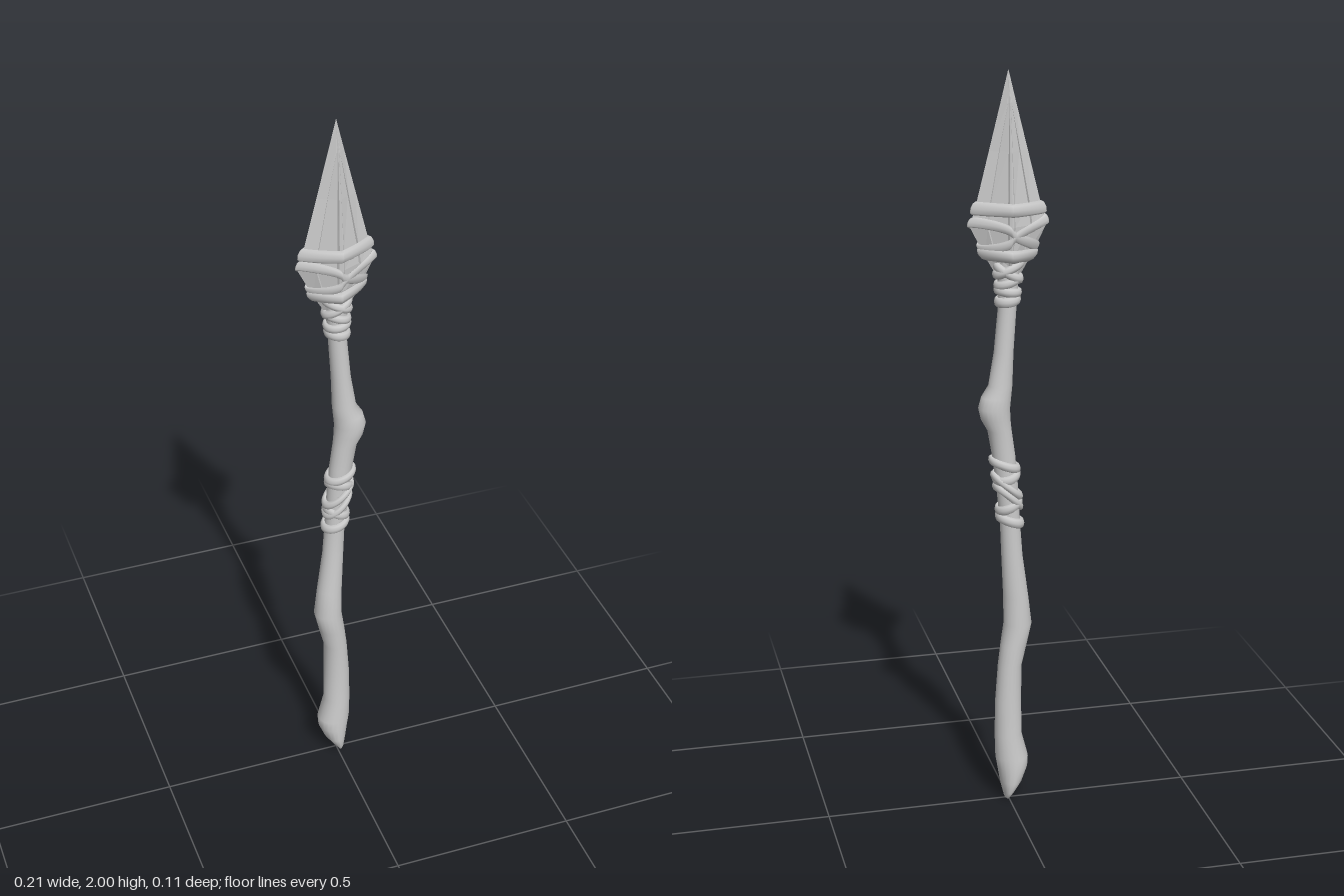
import * as THREE from 'three';

const smooth = new THREE.MeshStandardMaterial({ color: 0xcccccc });
const faceted = new THREE.MeshStandardMaterial({ color: 0xcccccc, flatShading: true });

// Skin a surface over closed rings of points; loop also joins the last ring to the first.
function skin(rings, loop = false) {
  const n = rings[0].length, m = rings.length, index = [];
  for (let i = 0; i < (loop ? m : m - 1); i++) {
    for (let j = 0; j < n; j++) {
      const a = i * n + j, b = i * n + (j + 1) % n;
      const c = ((i + 1) % m) * n + j, d = ((i + 1) % m) * n + (j + 1) % n;
      index.push(a, c, b, b, c, d);
    }
  }
  const geo = new THREE.BufferGeometry();
  geo.setAttribute('position', new THREE.Float32BufferAttribute(rings.flat(2), 3));
  geo.setIndex(index);
  geo.computeVertexNormals();
  return geo;
}

// Linear lookup in a table whose first column is y.
function lookup(table, y) {
  let i = 1;
  while (i < table.length - 1 && table[i][0] < y) i++;
  const a = table[i - 1], b = table[i];
  const t = THREE.MathUtils.clamp((y - a[0]) / (b[0] - a[0]), 0, 1);
  return a.map((v, k) => v + (b[k] - v) * t);
}

// Shaft: y, left x, right x, centre z, half depth
const SHAFT = [
  [0.003, 0.004, 0.01, 0, 0.004], [0.01, 0, 0.012, 0, 0.025], [0.03, -0.014, 0.017, 0, 0.039],
  [0.06, -0.036, 0.024, 0, 0.044], [0.1, -0.052, 0.031, 0, 0.044], [0.13, -0.054, 0.036, 0, 0.042],
  [0.2, -0.036, 0.038, 0, 0.037], [0.3, -0.035, 0.036, 0, 0.034], [0.4, -0.036, 0.028, 0.002, 0.034],
  [0.46, -0.051, 0.02, 0.005, 0.036], [0.52, -0.065, 0.011, 0.007, 0.037], [0.6, -0.055, 0.013, 0.004, 0.032],
  [0.72, -0.038, 0.019, 0, 0.027], [0.8, -0.032, 0.022, 0, 0.027], [0.92, -0.025, 0.033, 0, 0.028],
  [1.0, -0.018, 0.044, 0, 0.028], [1.07, -0.008, 0.056, 0, 0.031], [1.1, -0.005, 0.073, 0, 0.035],
  [1.13, -0.004, 0.08, 0, 0.037], [1.16, -0.007, 0.072, 0, 0.035], [1.19, -0.01, 0.053, 0, 0.03],
  [1.28, -0.013, 0.038, 0, 0.027], [1.4, -0.021, 0.027, 0, 0.024], [1.48, -0.027, 0.028, 0, 0.025],
  [1.58, -0.03, 0.03, 0, 0.025],
];

// Blade: y, half width, half depth, groove position (share of width), groove depth
const BLADE = [
  [1.47, 0.025, 0.02, 0.6, 0], [1.53, 0.06, 0.037, 0.6, 0.08], [1.61, 0.1, 0.045, 0.58, 0.13],
  [1.66, 0.085, 0.044, 0.62, 0.13], [1.8, 0.05, 0.033, 0.55, 0.13],
  [1.92, 0.02, 0.018, 0.25, 0.02], [2, 0.0005, 0.0005, 0.2, 0],
];

const shaftAt = y => {
  const [, l, r, cz, rz] = lookup(SHAFT, y);
  return { cx: (l + r) / 2, cz, rx: (r - l) / 2, rz, power: 1 };
};
const bladeAt = y => {
  const [, w, d] = lookup(BLADE, y);
  return { cx: 0, cz: 0, rx: w, rz: d, power: 1.75 };
};

function shaftGeometry() {
  const n = 20;
  const rings = SHAFT.map(([y]) => {
    const s = shaftAt(y);
    return Array.from({ length: n }, (_, j) => {
      const a = j / n * Math.PI * 2;
      return [s.cx + Math.cos(a) * s.rx, y, s.cz + Math.sin(a) * s.rz];
    });
  });
  return skin(rings);
}

// Diamond section with a recessed panel in each of its four faces.
function bladeGeometry() {
  const rings = BLADE.map(([y, w, d, f, g]) => {
    const quarter = [[1, 0], [f, 1 - f], [f - 0.04, 1.04 - f - g], [0.1, 0.9 - g], [0.06, 0.94]];
    const mirrored = quarter.slice(1).reverse().map(([x, z]) => [-x, z]);
    const half = [...quarter, [0, 1], ...mirrored];
    return [...half, ...half.map(([x, z]) => [-x, -z])].map(([x, z]) => [x * w, y, z * d]);
  });
  return skin(rings);
}

// A flat band bound round a body, tilted by lean along x and by pitch along z.
function bandGeometry(bodyAt, y, lean, pitch, height, thick) {
  const rings = [], n = 48, m = 8;
  for (let i = 0; i < n; i++) {
    const a = i / n * Math.PI * 2, c = Math.cos(a), s = Math.sin(a);
    const yc = y + lean * c + pitch * s;
    const ring = [];
    for (let j = 0; j < m; j++) {
      const b = j / m * Math.PI * 2;
      const py = yc - Math.sin(b) * height / 2;
      const { cx, cz, rx, rz, power } = bodyAt(py);
      const out = 0.003 + Math.cos(b) * thick;
      const bend = v => Math.sign(v) * Math.abs(v) ** power;
      ring.push([cx + bend(c) * (rx + out), py, cz + bend(s) * (rz + out)]);
    }
    rings.push(ring);
  }
  return skin(rings, true);
}

export function createModel() {
  const model = new THREE.Group();
  model.name = 'spear';
  const add = (parent, name, geo, mat) => {
    const mesh = new THREE.Mesh(geo, mat);
    mesh.name = name;
    parent.add(mesh);
  };
  add(model, 'shaft', shaftGeometry(), smooth);
  add(model, 'blade', bladeGeometry(), faceted);

  // Bindings: body, then y, lean, pitch, height, thickness of each band
  const bindings = {
    bladeBinding: [bladeAt, [
      [1.655, 0.002, 0, 0.034, 0.009], [1.588, -0.035, 0.012, 0.026, 0.006],
      [1.585, 0.035, -0.012, 0.026, 0.006], [1.535, 0.004, 0, 0.034, 0.012],
    ]],
    neckBinding: [shaftAt, [
      [1.5, -0.016, 0, 0.026, 0.011], [1.49, 0.018, 0.005, 0.026, 0.01], [1.465, -0.01, 0, 0.024, 0.008],
      [1.44, 0.004, 0, 0.024, 0.008], [1.415, -0.003, 0, 0.026, 0.007],
    ]],
    gripBinding: [shaftAt, [
      [0.975, 0.012, 0, 0.026, 0.008], [0.945, -0.008, 0.008, 0.026, 0.007], [0.915, 0.03, 0, 0.026, 0.009],
      [0.885, 0.03, -0.006, 0.026, 0.008], [0.86, -0.012, 0, 0.026, 0.007], [0.82, 0.01, 0, 0.028, 0.008],
    ]],
  };
  for (const [name, [bodyAt, bands]] of Object.entries(bindings)) {
    const group = new THREE.Group();
    group.name = name;
    bands.forEach((b, i) => add(group, `${name}Band${i + 1}`, bandGeometry(bodyAt, ...b), smooth));
    model.add(group);
  }
  return model;
}
